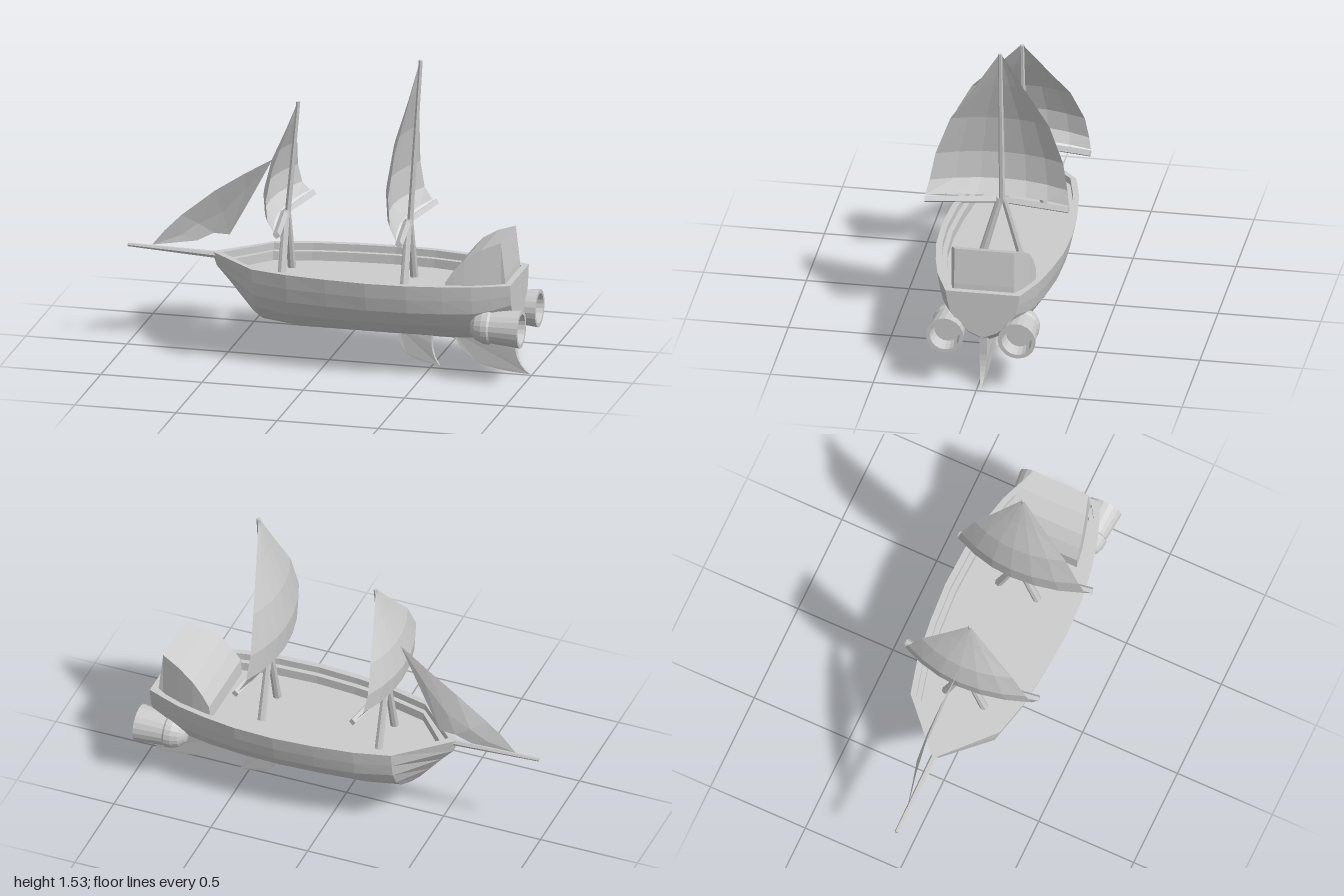
import * as THREE from 'three';

const material = new THREE.MeshStandardMaterial({ color: 0xcccccc, flatShading: true, side: THREE.DoubleSide });

function part(name, geometry, parent) {
  const mesh = new THREE.Mesh(geometry, material);
  mesh.name = name;
  parent.add(mesh);
  return mesh;
}

// Skin a list of equally long rows of [x, y, z] points
function loft(rows) {
  const n = rows[0].length, index = [];
  for (let r = 0; r < rows.length - 1; r++) {
    for (let i = 0; i < n - 1; i++) {
      const a = r * n + i, b = a + n;
      index.push(a, b, a + 1, a + 1, b, b + 1);
    }
  }
  const g = new THREE.BufferGeometry();
  g.setAttribute('position', new THREE.Float32BufferAttribute(rows.flat(2), 3));
  g.setIndex(index);
  g.computeVertexNormals();
  return g;
}

// Round or square bar between two points
function bar(name, from, to, r0, r1, sides, parent) {
  const a = new THREE.Vector3(...from), b = new THREE.Vector3(...to);
  const mesh = part(name, new THREE.CylinderGeometry(r1, r0, a.distanceTo(b), sides), parent);
  mesh.position.copy(a).add(b).multiplyScalar(0.5);
  mesh.quaternion.setFromUnitVectors(new THREE.Vector3(0, 1, 0), b.sub(a).normalize());
  return mesh;
}

const GUNWALE = 0.495, DECK = 0.415, LEDGE = 0.46;

// Half section of the hull: keel, side, rim, ledge, deck
function hullSection([x, width, keel], stem) {
  const zs = [0, 0.38, 0.7, 0.89, 0.955, 1], ys = [0, 0.13, 0.34, 0.57, 0.78, 1];
  const points = zs.map((f, i) => [stem ? stem[i] : x, keel + (GUNWALE - keel) * ys[i], width * f]);
  const inner = [[0.03, GUNWALE], [0.03, LEDGE], [0.055, LEDGE], [0.055, DECK]];
  const shift = stem ? 1.7 : x > 0.9 ? -1 : 0;
  for (const [inset, y] of inner) points.push([x + shift * inset, y, Math.max(0, width - inset)]);
  points.push([x + shift * 0.055, DECK, 0]);
  return points;
}

const mirror = (row) => row.map(([x, y, z]) => [x, y, -z]);

function buildHull(parent) {
  const hull = new THREE.Group();
  hull.name = 'hull';
  parent.add(hull);
  const stations = [
    [-0.33, 0.235, 0.18], [-0.15, 0.28, 0.157], [0.05, 0.305, 0.157], [0.25, 0.318, 0.157],
    [0.45, 0.31, 0.157], [0.62, 0.283, 0.157], [0.76, 0.25, 0.165], [0.85, 0.215, 0.2], [0.935, 0.18, 0.255],
  ];
  const rows = stations.map((s) => hullSection(s));
  rows.unshift(hullSection([-0.585, 0, 0.18], [-0.34, -0.385, -0.44, -0.5, -0.56, -0.585]));
  part('leftHullSide', loft(rows), hull);
  part('rightHullSide', loft(rows.map(mirror).reverse()), hull);
  const last = rows[rows.length - 1];
  part('transom', loft([last, mirror(last)]), hull);
}

// Hood-like cabin at the stern
function buildCabin(parent) {
  const profile = [[0.615, DECK, 0.205], [0.62, 0.495, 0.203], [0.66, 0.555, 0.198], [0.71, 0.61, 0.19],
    [0.79, 0.66, 0.17], [0.88, 0.695, 0.145], [0.9, 0.52, 0.145], [0.905, DECK, 0.145]];
  const row = (s, floor) => profile.map(([x, y, w]) => [x, floor ? DECK : y, s * w]);
  part('cabin', loft([row(1, true), row(1), row(-1), row(-1, true)]), parent);
}

// Mast, splayed legs, bent yard and bulging sail; rake is shared, height varies
function buildRig(name, x, top, parent) {
  const rig = new THREE.Group();
  rig.name = name;
  rig.position.x = x;
  parent.add(rig);
  const foot = 0.735;
  bar('mast', [0, 0.72, 0], [0.052, top, 0], 0.015, 0.01, 6, rig);
  for (const s of [1, -1]) {
    bar('mastLeg', [-0.005, DECK, s * 0.1], [-0.005, 0.735, s * 0.01], 0.021, 0.017, 8, rig);
    bar('yard', [-0.015, 0.72, 0], [0.04, 0.72, s * 0.35 + 0.02], 0.019, 0.019, 4, rig);
  }
  // rows: height fraction, half width, centre x, edge x
  const shape = [[0, 0.35, -0.03, 0.025], [0.08, 0.335, -0.085, -0.01], [0.25, 0.31, -0.095, -0.025],
    [0.5, 0.24, -0.062, -0.012], [0.76, 0.115, 0, 0.02], [1, 0.004, 0.05, 0.05]];
  const rows = shape.map(([t, w, xc, xe]) => [-1, -0.67, -0.33, 0, 0.33, 0.67, 1].map((u) => [
    xe + (xc - xe) * (1 - u * u),
    foot + (top - foot) * t,
    u * w + 0.02 * Math.abs(u) * w / 0.35,
  ]));
  part('sail', loft(rows), rig);
}

// Triangular foresail between the bowsprit and the front sail
function buildJib(parent) {
  const luff = [[-0.88, 0.505, 0], [-0.82, 0.58, -0.005], [-0.74, 0.66, -0.015], [-0.58, 0.79, -0.025], [-0.43, 0.89, -0.018], [-0.285, 0.98, 0]];
  const leech = [[-0.88, 0.505, 0], [-0.67, 0.53, -0.04], [-0.59, 0.57, -0.055], [-0.51, 0.57, -0.05], [-0.42, 0.73, -0.03], [-0.285, 0.98, 0]];
  const rows = luff.map((a, i) => [0, 0.5, 1].map((t) => a.map((v, k) =>
    v + (leech[i][k] - v) * t - (k === 2 ? 0.012 * Math.sin(Math.PI * t) * Math.sin(Math.PI * i / 5) : 0))));
  part('foreSail', loft(rows), parent);
}

// Curved fin under the keel, thinning toward its tip
function buildFin(name, start, front, tip, back, parent) {
  const shape = new THREE.Shape();
  shape.moveTo(...start);
  shape.bezierCurveTo(...front, ...tip);
  shape.quadraticCurveTo(...back[0], ...back[1]);
  shape.lineTo(...back[2]);
  const g = new THREE.ExtrudeGeometry(shape, { depth: 0.036, bevelEnabled: false, curveSegments: 8 });
  g.translate(0, 0, -0.018);
  const p = g.attributes.position;
  for (let i = 0; i < p.count; i++) {
    p.setZ(i, p.getZ(i) * THREE.MathUtils.clamp(0.25 + p.getY(i) * 6, 0.25, 1));
  }
  part(name, g, parent);
}

// Rocket-like thruster: rounded nose, collar, flared hollow nozzle
function buildThruster(name, z, parent) {
  const profile = [[0, 0.735], [0.04, 0.745], [0.068, 0.77], [0.082, 0.805], [0.085, 0.835], [0.078, 0.845],
    [0.092, 0.99], [0.073, 0.99], [0.062, 0.92], [0, 0.92]].map(([r, x]) => new THREE.Vector2(r, x));
  const mesh = part(name, new THREE.LatheGeometry(profile, 20), parent);
  mesh.rotation.z = -Math.PI / 2;
  mesh.position.set(0, 0.28, z);
}

export function createModel() {
  const model = new THREE.Group();
  model.name = 'sailingShip';
  const ship = new THREE.Group();
  ship.name = 'ship';
  ship.position.z = -0.02;
  model.add(ship);

  buildHull(ship);
  buildCabin(ship);
  buildRig('mainRig', 0.395, 1.535, ship);
  buildRig('foreRig', -0.21, 1.28, ship);
  buildJib(ship);
  bar('bowsprit', [-0.54, 0.48, 0], [-1, 0.497, 0], 0.018, 0.009, 6, ship);

  buildFin('frontFin', [0.345, 0.19], [0.33, 0.07, 0.38, 0.03], [0.54, 0.015], [[0.5, 0.06], [0.505, 0.15], [0.505, 0.19]], ship);
  buildFin('rearFin', [0.615, 0.19], [0.65, 0.05, 0.74, 0.015], [0.99, 0.003], [[0.91, 0.05], [0.915, 0.19], [0.915, 0.26]], ship);
  for (const s of [1, -1]) buildThruster(s > 0 ? 'leftThruster' : 'rightThruster', s * 0.175, ship);
  return model;
}
